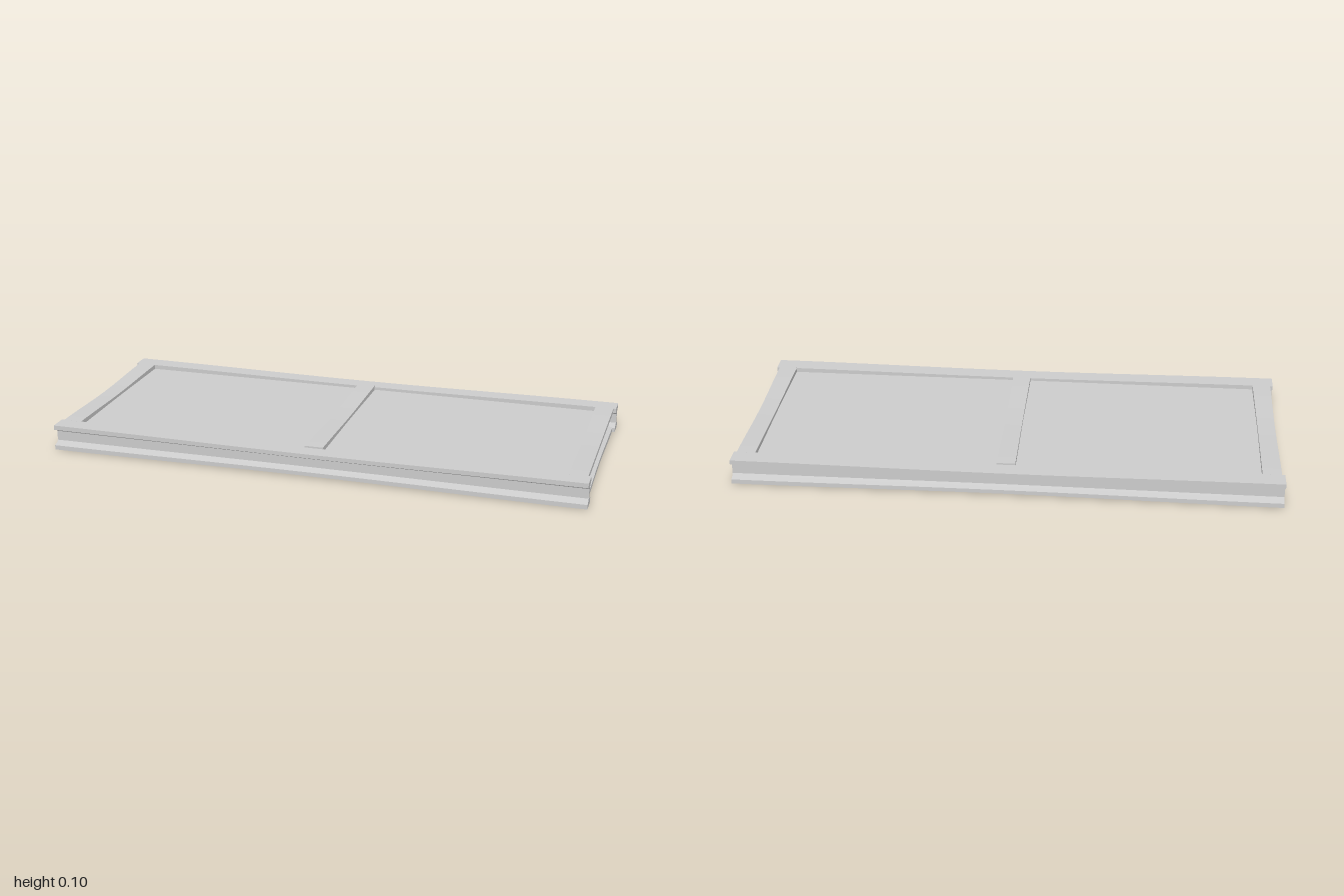
import * as THREE from 'three';

const HEIGHT = 0.096, MID = HEIGHT / 2;
const HALF_WIDTH = 0.0345;

// I-section with tapered flanges, centred on the origin
function beamSection() {
  const quarter = [[HALF_WIDTH, MID], [HALF_WIDTH, 0.031], [0.015, 0.025], [0.009, 0.018]];
  const right = [...quarter, ...quarter.map(([x, y]) => [x, -y]).reverse()];
  const left = right.map(([x, y]) => [-x, -y]);
  return new THREE.Shape([...right, ...left].map(([x, y]) => new THREE.Vector2(x, y)));
}

// Beam along z that narrows gently towards the middle of its length
function beamGeometry(length) {
  const geometry = new THREE.ExtrudeGeometry(beamSection(), { depth: length, steps: 16, bevelEnabled: false });
  geometry.translate(0, 0, -length / 2);
  const p = geometry.attributes.position;
  for (let i = 0; i < p.count; i++) {
    const waist = Math.cos((p.getZ(i) / length) * Math.PI) ** 2;
    p.setXY(i, p.getX(i) * (1 - 0.05 * waist), p.getY(i) * (1 - 0.13 * waist));
  }
  geometry.computeVertexNormals();
  return geometry;
}

export function createModel() {
  const model = new THREE.Group();
  const material = new THREE.MeshStandardMaterial({ color: 0xcccccc, flatShading: true });

  function add(name, geometry, x, y, z, turn = 0) {
    const mesh = new THREE.Mesh(geometry, material);
    mesh.name = name;
    mesh.position.set(x, y, z);
    mesh.rotation.y = turn;
    model.add(mesh);
  }

  // Long side beams
  const longBeam = beamGeometry(2);
  add('frontBeam', longBeam, 0, MID, 0.3885, Math.PI / 2);
  add('backBeam', longBeam, 0, MID, -0.3885, Math.PI / 2);

  // End beams and central cross beam
  const crossBeam = beamGeometry(0.714);
  add('leftEndBeam', crossBeam, 0.955, MID, 0);
  add('rightEndBeam', crossBeam, -0.955, MID, 0);
  add('middleBeam', crossBeam, 0, MID, 0);

  // Floor panels set just below the top flanges
  const panel = new THREE.BoxGeometry(0.9, 0.012, 0.722);
  add('leftPanel', panel, 0.4775, 0.073, 0);
  add('rightPanel', panel, -0.4775, 0.073, 0);

  return model;
}
